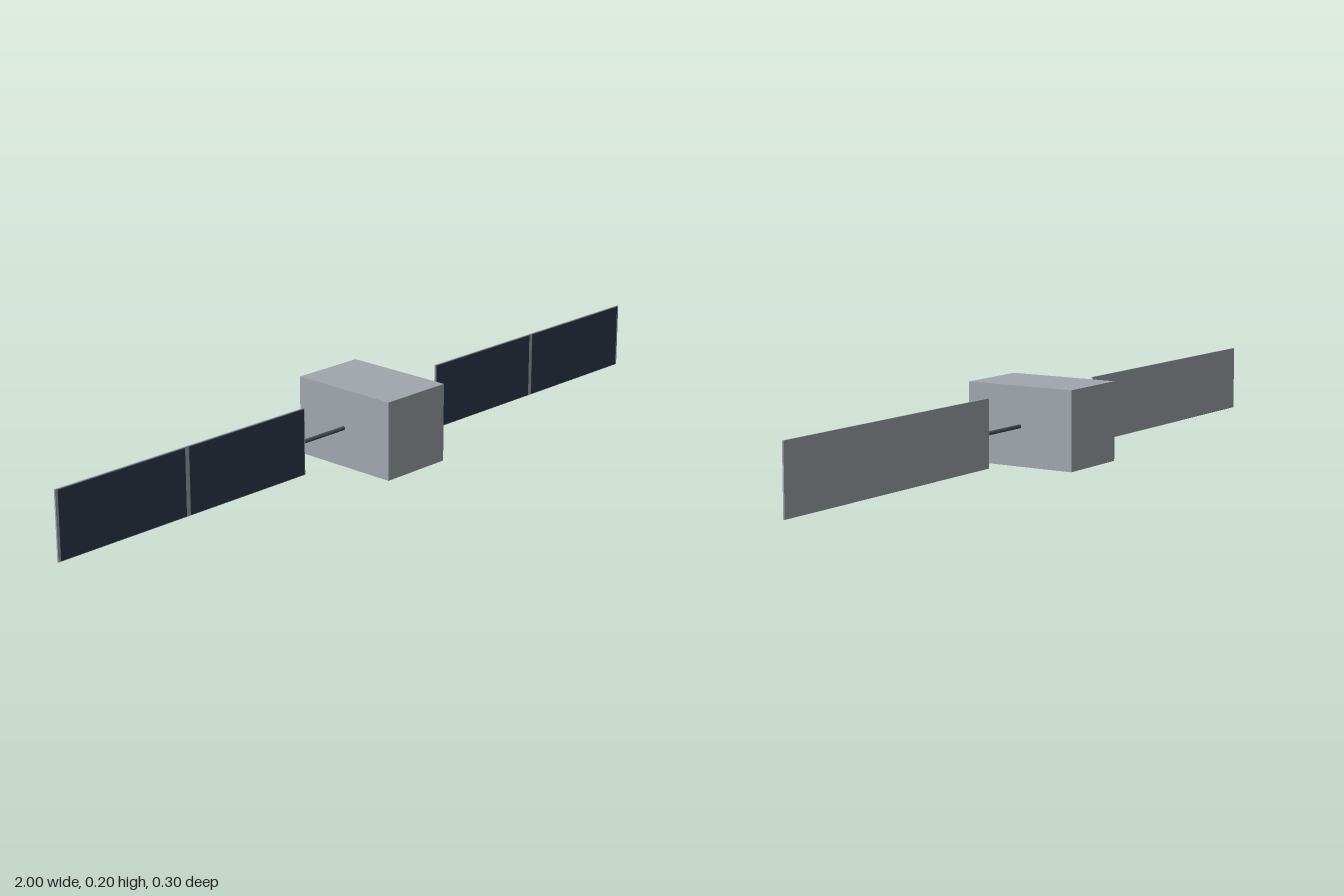
import * as THREE from 'three';

const material = (name, color) => {
  const m = new THREE.MeshStandardMaterial({ color });
  m.name = name;
  return m;
};

export function createModel() {
  const model = new THREE.Group();
  model.name = 'satellite';
  const hullGrey = material('hull grey', 0xa0a7ad);
  const cellBlue = material('solar cell blue', 0x2c3a4c);
  const rodGrey = material('rod dark grey', 0x4a4e54);

  const add = (parent, name, geometry, mat, x, y, z) => {
    const mesh = new THREE.Mesh(geometry, mat);
    mesh.name = name;
    mesh.position.set(x, y, z);
    parent.add(mesh);
  };

  // Central box, longest from front to back
  add(model, 'body', new THREE.BoxGeometry(0.2, 0.2, 0.3), hullGrey, 0, 0.1, 0);

  // One wing on each side: rod, backing panel and two cell plates facing front
  for (const [side, s] of [['left', 1], ['right', -1]]) {
    const wing = new THREE.Group();
    wing.name = side + 'Wing';
    wing.position.y = 0.1;

    const rod = new THREE.CylinderGeometry(0.005, 0.005, 0.14, 12).rotateZ(Math.PI / 2);
    add(wing, 'rod', rod, rodGrey, s * 0.167, 0, 0);

    add(wing, 'panel', new THREE.BoxGeometry(0.764, 0.17, 0.004), hullGrey, s * 0.618, 0, -0.0005);

    for (const [name, x] of [['innerCells', 0.425], ['outerCells', 0.808]]) {
      add(wing, name, new THREE.BoxGeometry(0.37, 0.166, 0.0015), cellBlue, s * x, 0, 0.00195);
    }
    model.add(wing);
  }
  return model;
}
